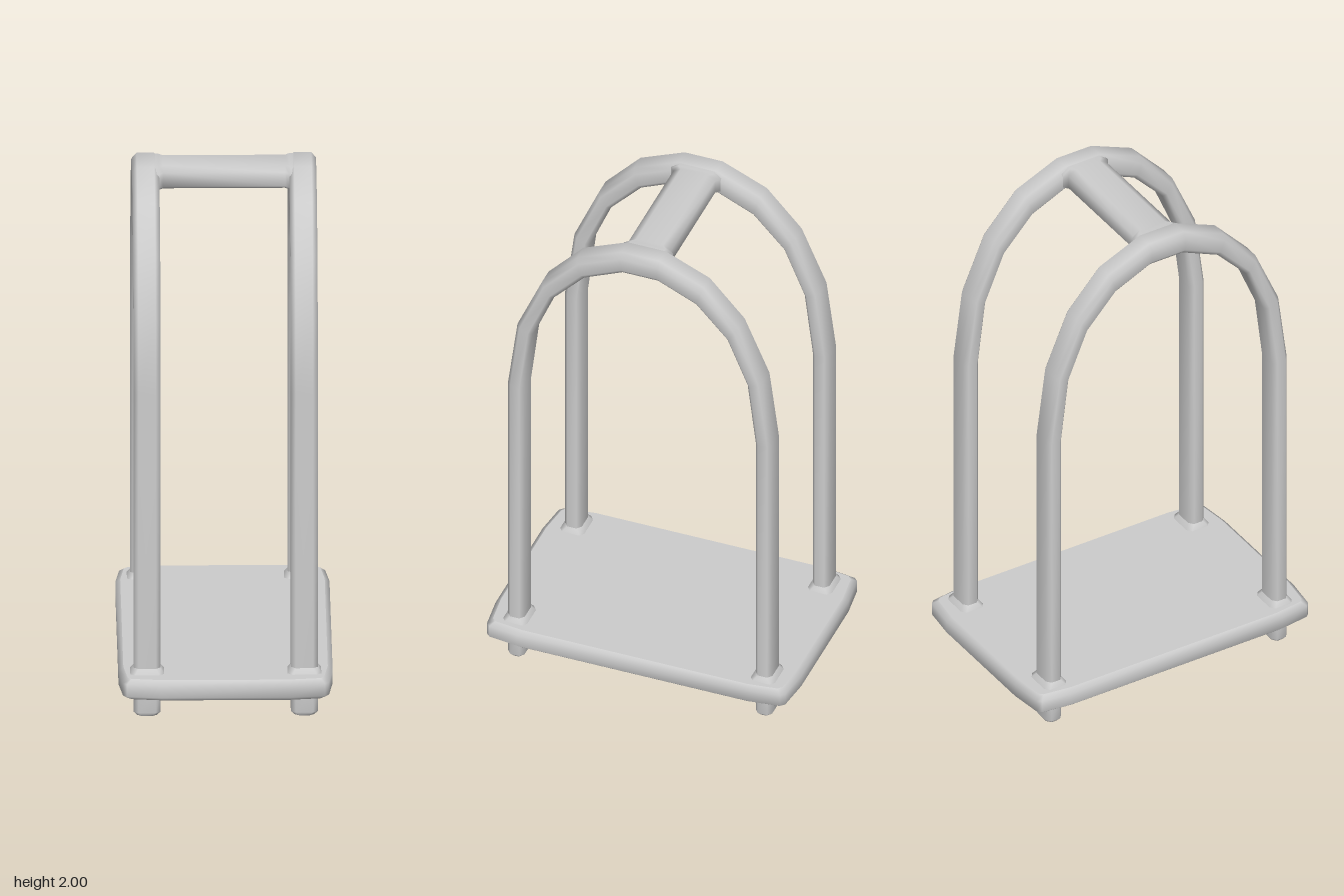
import * as THREE from 'three';

const material = new THREE.MeshStandardMaterial({ color: 0xcccccc });
const V = (x, y, z) => new THREE.Vector3(x, y, z);

// Chamfered rectangle, counter-clockwise in (u, v)
function octagon(hu, hv, cu, cv = cu) {
  return [
    [hu, cv - hv], [hu, hv - cv], [hu - cu, hv], [cu - hu, hv],
    [-hu, hv - cv], [-hu, cv - hv], [cu - hu, -hv], [hu - cu, -hv],
  ];
}

// Smooth skin over equal-sized rings, with flat end caps
function loft(rings) {
  const n = rings[0].length;
  const last = rings.length - 1;
  const points = [...rings.flat(), ...rings[0], ...rings[last]];
  const index = [];
  for (let i = 0; i < last; i++) {
    for (let j = 0; j < n; j++) {
      const k = (j + 1) % n;
      const a = i * n + j, b = i * n + k;
      index.push(a, b, b + n, a, b + n, a + n);
    }
  }
  const start = rings.length * n, end = start + n;
  for (let j = 1; j < n - 1; j++) {
    index.push(start, start + j + 1, start + j, end, end + j, end + j + 1);
  }
  const geometry = new THREE.BufferGeometry().setFromPoints(points);
  geometry.setIndex(index);
  geometry.computeVertexNormals();
  return geometry;
}

function addMesh(parent, name, geometry, x = 0, y = 0, z = 0) {
  const mesh = new THREE.Mesh(geometry, material);
  mesh.name = name;
  mesh.position.set(x, y, z);
  parent.add(mesh);
}

// Platform with clipped, slightly bowed corners and bevelled rims
function deckGeometry() {
  const q = [[0.605, 0.24], [0.59, 0.365], [0.575, 0.38], [0.46, 0.395]];
  const r = [...q].reverse();
  const outline = [
    ...q, ...r.map(([u, v]) => [-u, v]),
    ...q.map(([u, v]) => [-u, -v]), ...r.map(([u, v]) => [u, -v]),
  ];
  const levels = [[0.09, 0.018], [0.106, 0], [0.154, 0], [0.17, 0.018]];
  return loft(levels.map(([y, inset]) => outline.map(([u, v]) =>
    V(v * (1 - inset / 0.395), y, u * (1 - inset / 0.605)))));
}

// Arched tube: each station is [outer z, outer y, inner z, inner y]
function hoopGeometry() {
  const half = [
    [0.523, 0.15, 0.457, 0.15], [0.523, 1.27, 0.457, 1.26],
    [0.486, 1.55, 0.425, 1.52], [0.388, 1.775, 0.345, 1.71],
    [0.25, 1.925, 0.222, 1.84], [0.075, 2.0, 0.07, 1.908],
  ];
  const stations = [...half,
    ...[...half].reverse().map(([oz, oy, iz, iy]) => [-oz, oy, -iz, iy])];
  const section = octagon(1, 0.05, 0.45, 0.018);
  return loft(stations.map(([oz, oy, iz, iy]) => section.map(([u, v]) =>
    V(v, (oy + iy + u * (oy - iy)) / 2, (oz + iz + u * (oz - iz)) / 2))));
}

// Upright stub from levels of [y, half depth, half width]
const stubGeometry = (levels) => loft(levels.map(([y, hz, hx]) =>
  octagon(hz, hx, 0.014, 0.018).map(([u, v]) => V(v, y, u))));

// Handle bar, flaring slightly where it meets the hoops
function barGeometry() {
  const levels = [[-0.27, 0.098], [-0.24, 0.098], [-0.225, 0.083],
    [0.225, 0.083], [0.24, 0.098], [0.27, 0.098]];
  return loft(levels.map(([x, hz]) =>
    octagon(0.045, hz, 0.018, 0.03).map(([u, v]) => V(x, 1.953 + u, v))));
}

export function createModel() {
  const model = new THREE.Group();
  model.name = 'luggageCart';

  addMesh(model, 'deck', deckGeometry());
  addMesh(model, 'crossbar', barGeometry());

  const hoop = hoopGeometry();
  const foot = stubGeometry([[0, 0.024, 0.036], [0.016, 0.033, 0.05], [0.1, 0.033, 0.05]]);
  const collar = stubGeometry([[0.16, 0.05, 0.064], [0.172, 0.047, 0.062], [0.19, 0.033, 0.05]]);

  for (const side of [1, -1]) {
    const sideName = side > 0 ? 'left' : 'right';
    addMesh(model, sideName + 'Hoop', hoop, side * 0.29);
    for (const end of [1, -1]) {
      const name = sideName + (end > 0 ? 'Front' : 'Back');
      addMesh(model, name + 'Foot', foot, side * 0.29, 0, end * 0.49);
      addMesh(model, name + 'Collar', collar, side * 0.29, 0, end * 0.49);
    }
  }
  return model;
}
